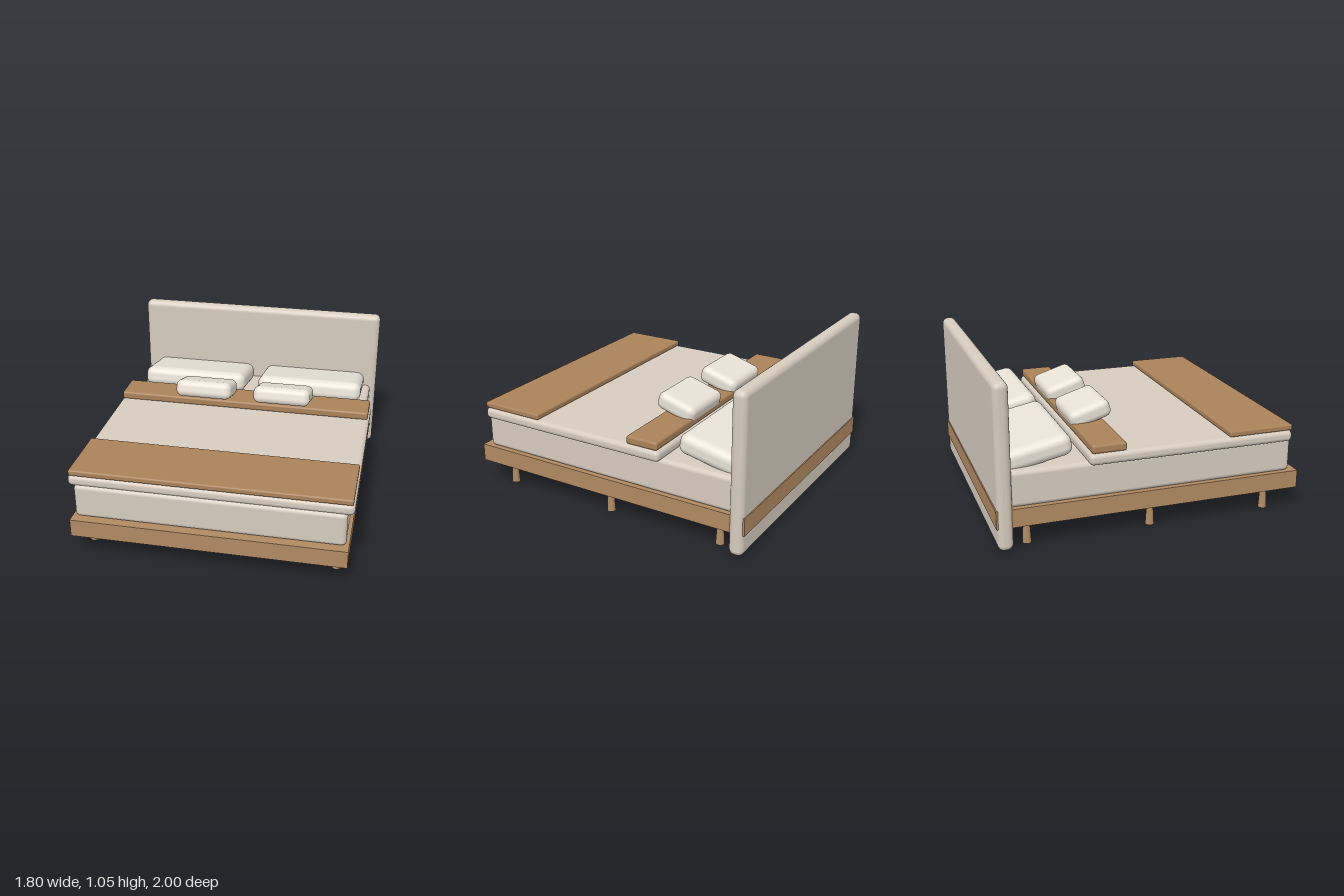
import * as THREE from 'three';
import { RoundedBoxGeometry } from 'three/addons/geometries/RoundedBoxGeometry.js';

const material = (color) => new THREE.MeshStandardMaterial({ color });

export function createModel() {
  const bed = new THREE.Group();
  bed.name = 'bed';
  const wood = material(0xb08a62);
  const throwFabric = material(0xaa8259);
  const linen = material(0xd6cbbe);
  const pillowFabric = material(0xe8e2d6);

  const add = (name, geometry, mat, x, y, z, tilt = 0) => {
    const mesh = new THREE.Mesh(geometry, mat);
    mesh.name = name;
    mesh.position.set(x, y, z);
    mesh.rotation.x = tilt;
    bed.add(mesh);
  };
  // Soft-edged box given by its half width and its y and z ranges
  const slab = (name, mat, halfX, y0, y1, z0, z1, radius) =>
    add(name, new RoundedBoxGeometry(halfX * 2, y1 - y0, z1 - z0, 5, radius), mat,
      0, (y0 + y1) / 2, (z0 + z1) / 2);

  // Frame and headboard
  add('baseFrame', new THREE.BoxGeometry(1.76, 0.118, 2), wood, 0, 0.203, 0);
  slab('headboard', linen, 0.9, 0, 1.05, -0.993, -0.898, 0.04);

  // Bedding
  slab('mattress', linen, 0.86, 0.26, 0.49, -0.95, 0.95, 0.03);
  slab('duvet', linen, 0.9, 0.476, 0.55, -0.42, 0.94, 0.03);
  slab('footThrow', throwFabric, 0.89, 0.55, 0.59, 0.5, 0.94, 0.012);
  slab('duvetFold', throwFabric, 0.89, 0.55, 0.605, -0.405, -0.185, 0.015);

  // Legs flare towards the floor
  const legGeometry = new THREE.CylinderGeometry(0.02, 0.028, 0.146, 20);
  const pillowGeometry = new RoundedBoxGeometry(0.76, 0.14, 0.45, 6, 0.055);
  const cushionGeometry = new RoundedBoxGeometry(0.4, 0.12, 0.28, 6, 0.045);
  for (const side of [-1, 1]) {
    for (const z of [-0.8, 0, 0.8]) add('leg', legGeometry, wood, side * 0.8, 0.073, z);
    // Pillows lean with the front edge raised
    add('pillow', pillowGeometry, pillowFabric, side * 0.43, 0.555, -0.72, -0.2);
    add('cushion', cushionGeometry, pillowFabric, side * 0.28, 0.652, -0.28, -0.3);
  }
  return bed;
}
